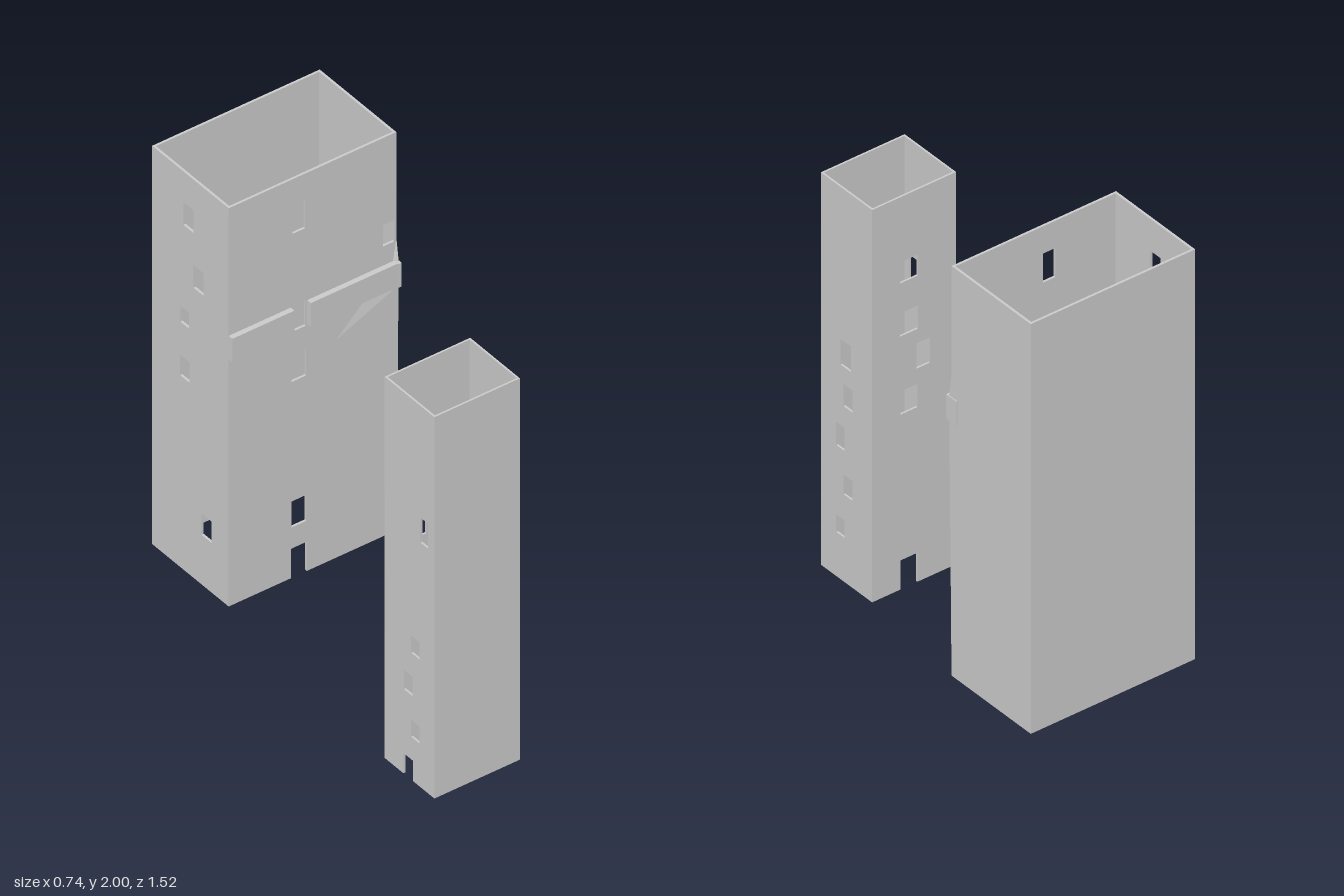
import * as THREE from 'three';

const material = new THREE.MeshStandardMaterial({ color: 0xcccccc, flatShading: true, side: THREE.DoubleSide });

function add(parent, name, geometry) {
  const mesh = new THREE.Mesh(geometry, material);
  mesh.name = name;
  parent.add(mesh);
  return mesh;
}

// Flat wall from u0 to u1; windows are [centre u, centre y, width, height],
// the optional door is a notch in the lower edge: [centre u, width, height]
function wallGeometry(u0, u1, y0, y1, thickness, windows = [], door = null) {
  const shape = new THREE.Shape();
  shape.moveTo(u0, y0);
  if (door) {
    const [c, w, h] = door;
    shape.lineTo(c - w / 2, y0);
    shape.lineTo(c - w / 2, y0 + h);
    shape.lineTo(c + w / 2, y0 + h);
    shape.lineTo(c + w / 2, y0);
  }
  shape.lineTo(u1, y0);
  shape.lineTo(u1, y1);
  shape.lineTo(u0, y1);
  shape.closePath();
  for (const [c, y, w, h] of windows) {
    const hole = new THREE.Path();
    hole.moveTo(c - w / 2, y - h / 2);
    hole.lineTo(c - w / 2, y + h / 2);
    hole.lineTo(c + w / 2, y + h / 2);
    hole.lineTo(c + w / 2, y - h / 2);
    hole.closePath();
    shape.holes.push(hole);
  }
  return new THREE.ExtrudeGeometry(shape, { depth: thickness, bevelEnabled: false });
}

// Open rectangular tube of four walls
function tower(name, { x0, x1, y0, y1, z0, z1, t, front = {}, back = {}, left = {}, right = {} }) {
  const group = new THREE.Group();
  group.name = name;
  const across = (o) => wallGeometry(x0, x1, y0, y1, t, o.windows, o.door);
  const along = (o) => wallGeometry(z0 + t, z1 - t, y0, y1, t, o.windows, o.door).rotateY(-Math.PI / 2);
  add(group, 'frontWall', across(front).translate(0, 0, z1 - t));
  add(group, 'backWall', across(back).translate(0, 0, z0));
  add(group, 'leftWall', along(left).translate(x1, 0, 0));
  add(group, 'rightWall', along(right).translate(x0 + t, 0, 0));
  return group;
}

function block(parent, name, x0, x1, y0, y1, z0, z1) {
  const geometry = new THREE.BoxGeometry(x1 - x0, y1 - y0, z1 - z0);
  add(parent, name, geometry.translate((x0 + x1) / 2, (y0 + y1) / 2, (z0 + z1) / 2));
}

export function createModel() {
  const model = new THREE.Group();
  model.name = 'twoTowers';

  // Small front tower, windows on three sides
  model.add(tower('smallTower', {
    x0: -0.27, x1: 0.105, y0: 0, y1: 1.69, z0: 0.47, z1: 0.762, t: 0.008,
    back: {
      windows: [[-0.06, 1.364, 0.08, 0.09], [-0.06, 1.14, 0.08, 0.1], [-0.123, 0.975, 0.06, 0.11], [-0.06, 0.803, 0.075, 0.1]],
      door: [-0.06, 0.075, 0.125],
    },
    left: {
      windows: [[0.62, 0.98, 0.06, 0.11], [0.608, 0.803, 0.05, 0.095], [0.65, 0.615, 0.048, 0.1], [0.608, 0.418, 0.05, 0.085], [0.65, 0.228, 0.048, 0.075]],
    },
    right: {
      windows: [[0.703, 1.14, 0.045, 0.11], [0.65, 0.6, 0.048, 0.075], [0.608, 0.418, 0.05, 0.085], [0.65, 0.228, 0.048, 0.075]],
      door: [0.608, 0.055, 0.09],
    },
  }));

  // Large rear tower, windows on the front and on its right
  const large = tower('largeTower', {
    x0: -0.37, x1: 0.365, y0: 0.235, y1: 2, z0: -0.762, z1: -0.312, t: 0.01,
    front: {
      windows: [[-0.063, 1.82, 0.055, 0.125], [-0.063, 1.382, 0.06, 0.115], [-0.063, 1.163, 0.065, 0.12], [-0.063, 0.516, 0.065, 0.115], [0.331, 1.567, 0.05, 0.095]],
      door: [-0.062, 0.07, 0.13],
    },
    right: {
      windows: [[-0.548, 1.813, 0.06, 0.1], [-0.489, 1.571, 0.06, 0.1], [-0.571, 1.358, 0.05, 0.07], [-0.571, 1.13, 0.055, 0.09], [-0.442, 0.502, 0.06, 0.095]],
    },
  });
  model.add(large);

  // Raised band, split at the window and wrapping round one corner
  block(large, 'bandRight', -0.37, -0.098, 1.33, 1.435, -0.312, -0.29);
  block(large, 'bandLeft', -0.026, 0.365, 1.33, 1.435, -0.312, -0.29);
  block(large, 'bandCorner', 0.355, 0.369, 1.33, 1.435, -0.345, -0.286);

  // Slight swelling of the front wall under the band
  const z = -0.3115;
  const top = [0.365, 1.53, z], inner = [0.35, 1.44, z], low = [0.1, 1.2, z], foot = [0.365, 0.24, z];
  const peakTop = [0.365, 1.435, -0.298], peakLow = [0.365, 1.33, -0.299];
  const faces = [
    top, inner, peakTop, inner, low, peakLow, inner, peakLow, peakTop,
    low, foot, peakLow, top, peakTop, peakLow, top, peakLow, foot,
  ];
  const swelling = new THREE.BufferGeometry();
  swelling.setAttribute('position', new THREE.Float32BufferAttribute(faces.flat(), 3));
  swelling.computeVertexNormals();
  add(large, 'wallSwelling', swelling);

  return model;
}
